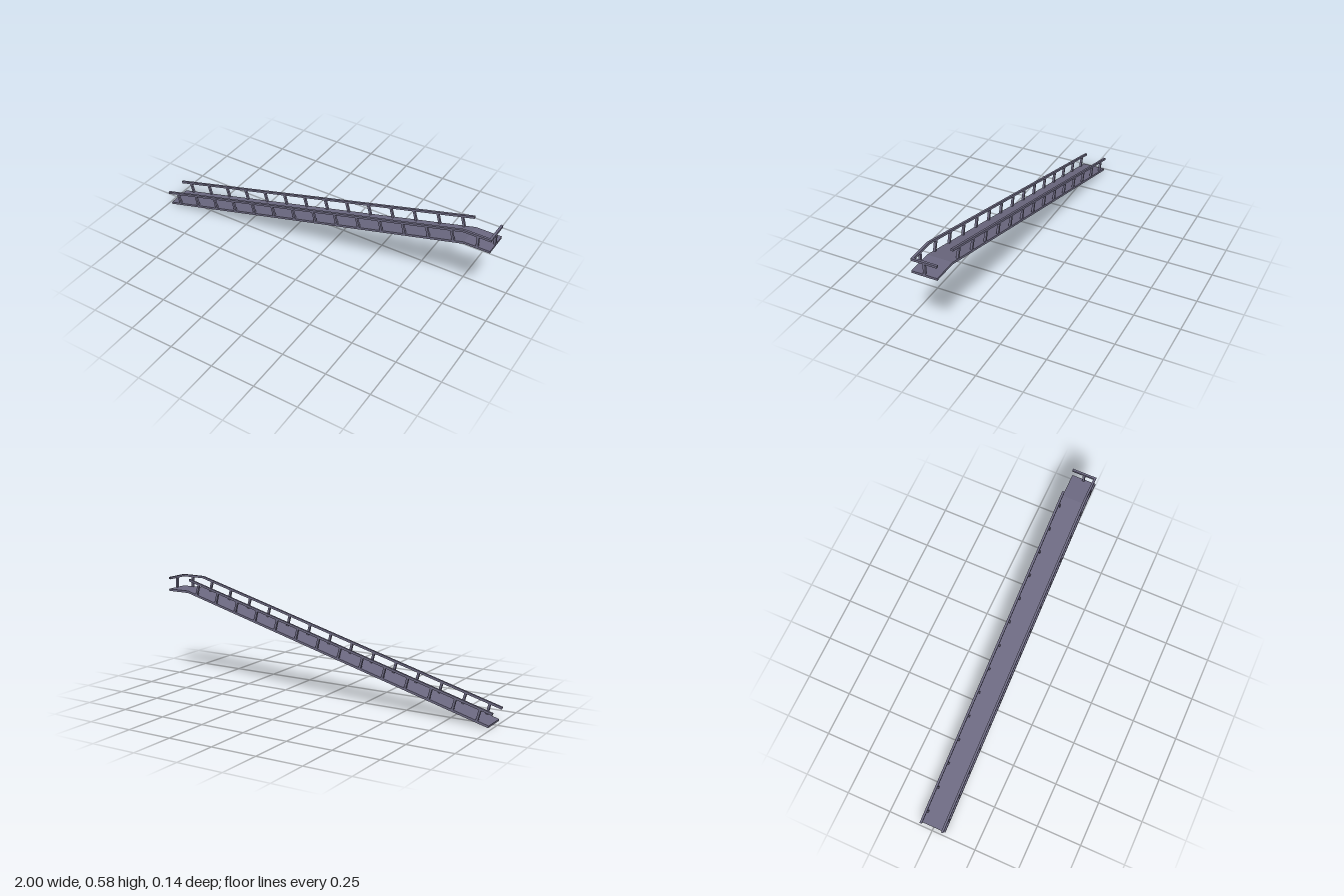
import * as THREE from 'three';

export function createModel() {
  const group = new THREE.Group();
  const material = new THREE.MeshStandardMaterial({ color: 0x6b6880, flatShading: true });

  const startX = -0.979, kinkX = 0.863, endX = 1, platformY = 0.497;
  const half = 0.068, bar = 0.012, railLow = 0.068, railTop = 0.08;
  const angle = Math.atan2(platformY, kinkX - startX);
  const sin = Math.sin(angle), cos = Math.cos(angle);

  // Points on a line parallel to the underside, raised by the given distance
  const start = (d) => [startX - sin * d, cos * d];
  const kink = (d) => [kinkX - Math.tan(angle / 2) * d, platformY + d];
  const end = (d) => [endX, platformY + d];

  function add(name, geometry) {
    const mesh = new THREE.Mesh(geometry, material);
    mesh.name = name;
    group.add(mesh);
    return mesh;
  }

  // Bent strip between two heights, extruded across z
  function strip(name, low, high, z0, z1, withPlatform) {
    const stations = withPlatform ? [start, kink, end] : [start, kink];
    const outline = [...stations.map((s) => s(low)), ...stations.map((s) => s(high)).reverse()];
    const shape = new THREE.Shape(outline.map(([x, y]) => new THREE.Vector2(x, y)));
    const geometry = new THREE.ExtrudeGeometry(shape, { depth: z1 - z0, bevelEnabled: false });
    add(name, geometry.translate(0, 0, z0));
  }

  function box(name, w, h, d, x, y, z) {
    const mesh = add(name, new THREE.BoxGeometry(w, h, d));
    mesh.position.set(x, y, z);
    return mesh;
  }

  // Walkway and side handrails; the back rail stops at the platform
  strip('deck', 0, bar, -half, half, true);
  strip('frontHandrail', railLow, railTop, half - bar, half, true);
  strip('backHandrail', railLow, railTop, -half, -half + bar, false);

  // Posts standing square to the slope on both sides
  const postHeight = railLow - bar, mid = (railLow + bar) / 2;
  const slopeLength = Math.hypot(kinkX - startX, platformY);
  for (const side of [1, -1]) {
    for (let i = 0; i < 14; i++) {
      const s = 0.067 + i * 0.1371;
      if (s > slopeLength) break;
      const post = box(side > 0 ? 'frontPost' : 'backPost', bar, postHeight, bar,
        startX + cos * s - sin * mid, sin * s + cos * mid, side * (half - bar / 2));
      post.rotation.z = angle;
    }
  }

  // Platform posts and the rail closing its end
  box('platformPost', bar, postHeight, bar, 0.93, platformY + mid, half - bar / 2);
  box('endPost', bar, postHeight, bar, endX - bar / 2, platformY + mid, 0);
  box('endHandrail', bar, bar, 2 * half - bar, endX - bar / 2, platformY + railTop - bar / 2, -bar / 2);

  return group;
}
